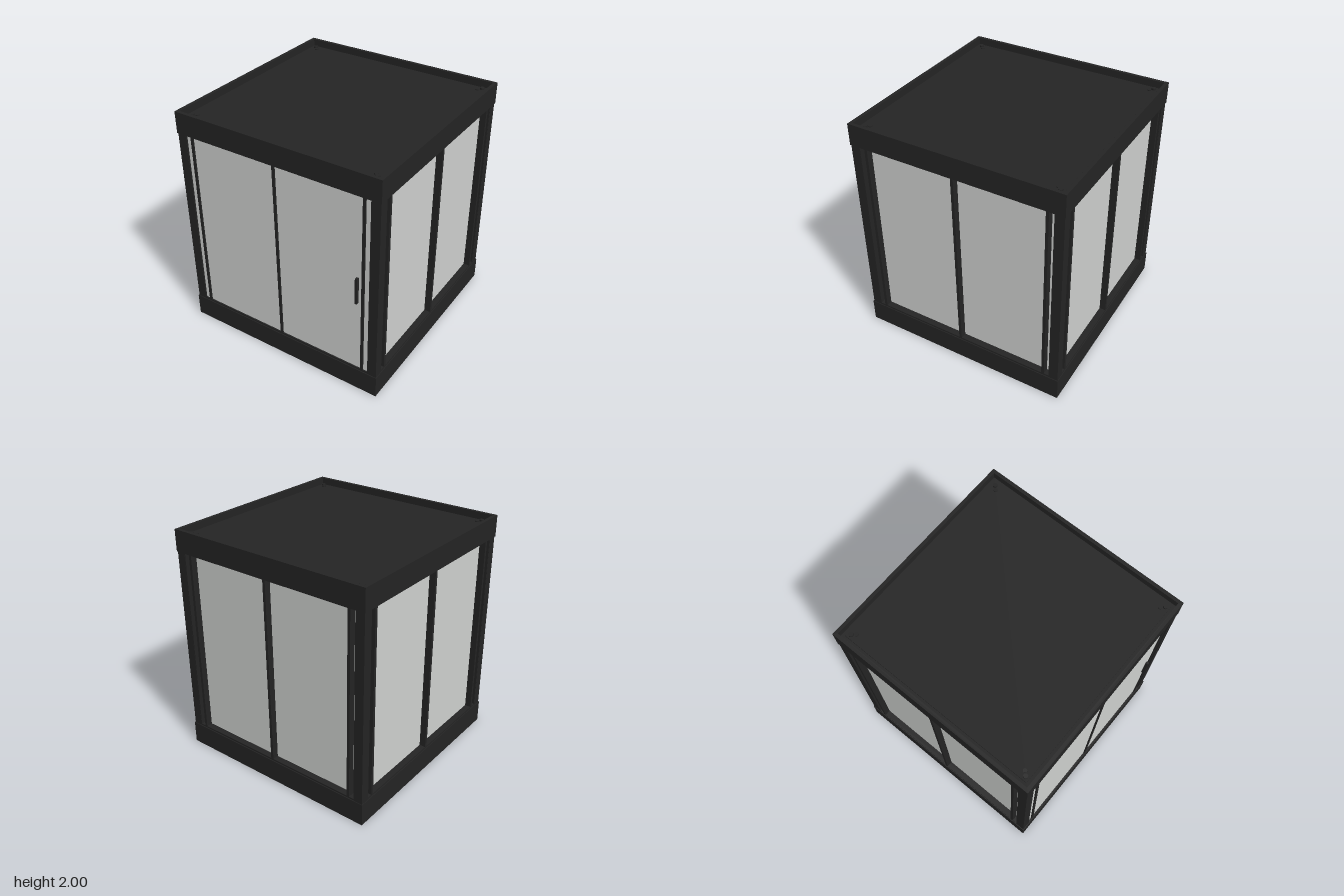
import * as THREE from 'three';

export function createModel() {
  const model = new THREE.Group();
  model.name = 'glassPavilion';
  const body = new THREE.Group();
  body.name = 'body';
  body.position.z = -0.004;
  model.add(body);

  const frame = new THREE.MeshStandardMaterial({ color: 0x242424 });
  frame.name = 'charcoal frame';
  const glass = new THREE.MeshStandardMaterial({ color: 0xcfd1cf });
  glass.name = 'pale glass';

  const R = 0.919;            // half width of roof and base
  const W = 0.913;            // half width of walls
  const Y0 = 0.195, Y1 = 1.815;
  const H = Y1 - Y0, YM = (Y0 + Y1) / 2;

  function box(parent, name, mat, w, h, d, x, y, z) {
    const m = new THREE.Mesh(new THREE.BoxGeometry(w, h, d), mat);
    m.name = name;
    m.position.set(x, y, z);
    parent.add(m);
    return m;
  }

  // Square hollow ring lying flat, from y0 to y1
  function ring(name, outer, inner, y0, y1) {
    const square = (p, r) => p.moveTo(-r, -r).lineTo(r, -r).lineTo(r, r).lineTo(-r, r).closePath();
    const shape = square(new THREE.Shape(), outer);
    shape.holes.push(square(new THREE.Path(), inner));
    const g = new THREE.ExtrudeGeometry(shape, { depth: y1 - y0, bevelEnabled: false });
    g.rotateX(-Math.PI / 2);
    const m = new THREE.Mesh(g, frame);
    m.name = name;
    m.position.y = y0;
    body.add(m);
  }

  // Base beams with a slightly recessed floor
  ring('baseBeam', R, 0.885, 0, Y0);
  box(body, 'floor', frame, 1.78, 0.17, 1.78, 0, 0.1, 0);

  // Roof beams, sunken deck and raised roof panel
  ring('roofBeam', R, 0.89, Y1, 2);
  box(body, 'roofDeck', frame, 1.79, 0.12, 1.79, 0, 1.88, 0);
  box(body, 'roofPanel', frame, 1.72, 0.012, 1.72, 0, 1.946, 0);

  // Corner posts and roof drains
  for (const sx of [-1, 1]) for (const sz of [-1, 1]) {
    box(body, 'cornerPost', frame, 0.075, H, 0.075, sx * (W - 0.0375), YM, sz * (W - 0.0375));
    for (const [r, at, h] of [[0.016, 0.8, 0.008], [0.018, 0.828, 0.016]]) {
      const drain = new THREE.Mesh(new THREE.CylinderGeometry(r, r, h, 16), frame);
      drain.name = 'roofDrain';
      drain.position.set(sx * at, 1.952 + h / 2, sz * at);
      body.add(drain);
    }
  }

  // One glazed wall facing +z, then turned into place
  function wall(name, angle, recess) {
    const g = new THREE.Group();
    g.name = name;
    g.rotation.y = angle;
    body.add(g);
    const depth = recess + 0.015, z = W - depth / 2 - 0.001;
    box(g, 'glassPane', glass, 1.69, H, 0.008, 0, YM, W - recess - 0.004);
    for (const x of [-0.778, 0, 0.778])
      box(g, 'mullion', frame, 0.024, H, depth, x, YM, z);
    for (const s of [-1, 1])
      box(g, 'sideJamb', frame, 0.008, H, depth, s * 0.836, YM, z);
    box(g, 'bottomRail', frame, 1.67, 0.016, depth, 0, Y0 + 0.008, z);
    box(g, 'topRail', frame, 1.67, 0.006, depth, 0, Y1 - 0.003, z);
    return g;
  }
  const front = wall('frontWall', 0, 0.012);
  wall('leftWall', Math.PI / 2, 0.055);
  wall('backWall', Math.PI, 0.055);
  wall('rightWall', -Math.PI / 2, 0.055);

  // Sliding door handle
  box(front, 'doorHandle', frame, 0.02, 0.235, 0.026, 0.728, 0.985, 0.913);

  return model;
}
